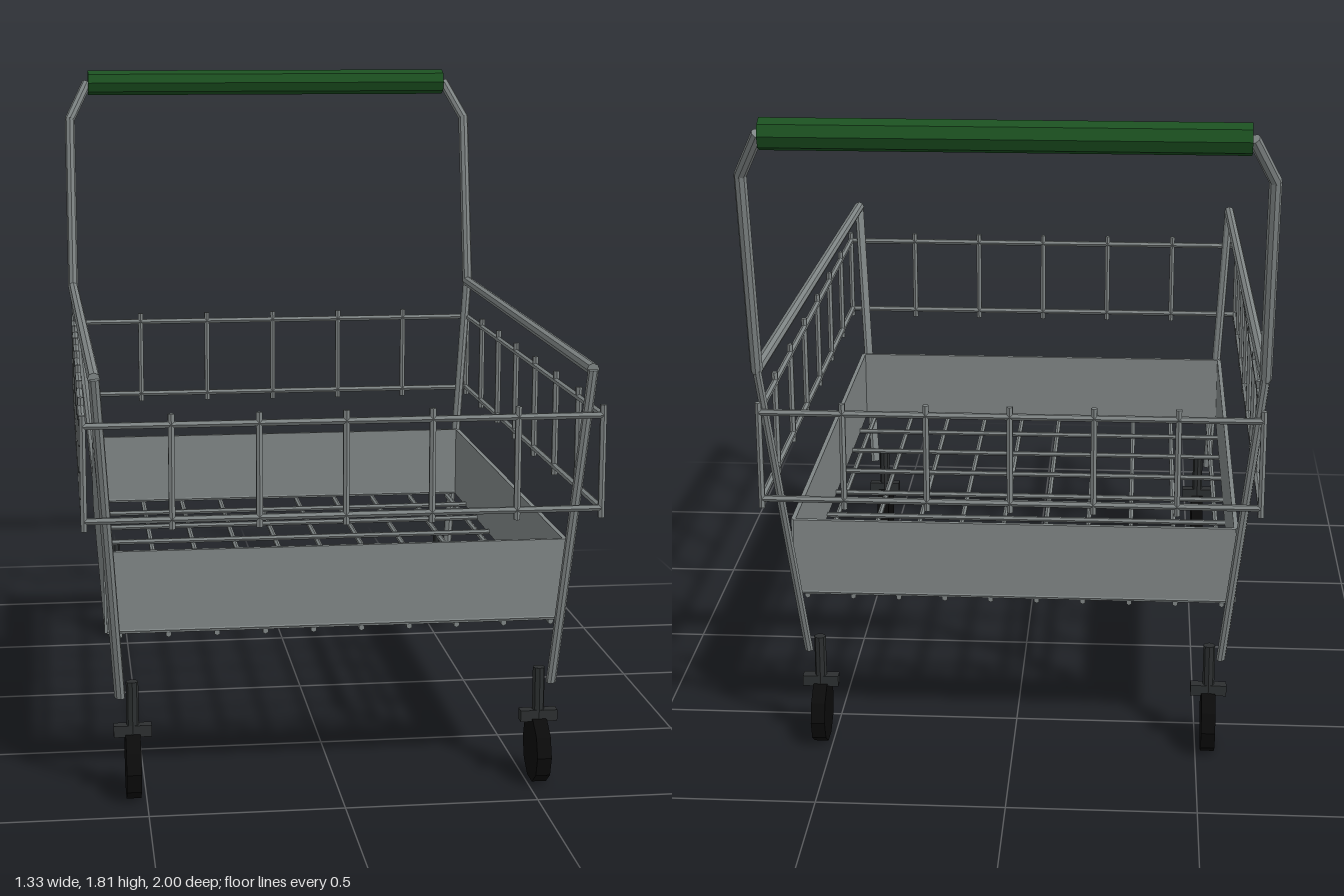
import * as THREE from 'three';

const flat = (name, color) => {
  const m = new THREE.MeshStandardMaterial({ color });
  m.name = name;
  m.flatShading = true;
  return m;
};

export function createModel() {
  const model = new THREE.Group();
  model.name = 'pushCart';

  const steel = flat('steel', 0x7f8585);
  const green = flat('handleGreen', 0x1b5020);
  const darkMetal = flat('darkMetal', 0x2c2f30);
  const rubber = flat('rubber', 0x0b0b0b);

  const add = (parent, name, geometry, material) => {
    const mesh = new THREE.Mesh(geometry, material);
    mesh.name = name;
    parent.add(mesh);
    return mesh;
  };
  const group = (name) => {
    const g = new THREE.Group();
    g.name = name;
    model.add(g);
    return g;
  };
  // Straight rod between two points
  const rod = (parent, name, a, b, r, sides = 8, material = steel) => {
    const p = new THREE.Vector3(...a), q = new THREE.Vector3(...b);
    const d = q.clone().sub(p);
    const mesh = add(parent, name, new THREE.CylinderGeometry(r, r, d.length(), sides), material);
    mesh.position.copy(p).add(q).multiplyScalar(0.5);
    mesh.quaternion.setFromUnitVectors(new THREE.Vector3(0, 1, 0), d.normalize());
    return mesh;
  };
  const joint = (parent, p, r) =>
    add(parent, 'joint', new THREE.SphereGeometry(r, 8, 6), steel).position.set(...p);

  // Frame: push bar uprights, top rails and four splayed legs
  const frame = group('frame');
  for (const s of [-1, 1]) {
    const grip = [s * 0.592, 1.775, -0.953], bend = [s * 0.65, 1.66, -0.892];
    const back = [s * 0.65, 1.125, -0.782], front = [s * 0.62, 1.125, 0.995];
    rod(frame, 'handleBend', grip, bend, 0.016);
    rod(frame, 'upright', bend, back, 0.016);
    rod(frame, 'topRail', back, front, 0.016);
    joint(frame, bend, 0.016);
    joint(frame, back, 0.016);
    const backLeg = rod(frame, 'backLeg', back, [s * 0.565, 0.27, -0.632], 0.016);
    const frontLeg = rod(frame, 'frontLeg', front, [s * 0.565, 0.27, 0.847], 0.016);
    backLeg.scale.z = frontLeg.scale.z = 0.72;
  }

  // Push handle
  rod(model, 'handle', [-0.588, 1.775, -0.955], [0.588, 1.775, -0.955], 0.04, 8, green);

  // Upper basket: two wire hoops with short upright bars
  const basket = group('basket');
  const X = 0.65, Z0 = -0.78, Z1 = 0.99, W = 0.009;
  for (const y of [0.77, 1.008]) {
    for (const z of [Z0, Z1]) rod(basket, 'crossWire', [-X, y, z], [X, y, z], W, 6);
    for (const x of [-X, X]) rod(basket, 'sideWire', [x, y, Z0], [x, y, Z1], W, 6);
  }
  const bar = (x, z) => rod(basket, 'basketBar', [x, 0.745, z], [x, 1.035, z], W, 6);
  for (let i = 1; i < 6; i++)
    for (const z of [Z0, Z1]) bar(-X + (i * 2 * X) / 6, z);
  for (let i = 0; i < 8; i++)
    for (const x of [-X, X]) bar(x, Z0 + (i * (Z1 - Z0)) / 7);

  // Lower tray: wire grid floor with solid low walls
  const tray = group('tray');
  const T0 = -0.637, T1 = 0.841, TX = 0.595;
  for (let i = 0; i < 10; i++) {
    const x = -0.5625 + i * 0.125;
    rod(tray, 'floorLongWire', [x, 0.432, T0], [x, 0.432, T1], 0.008, 6);
  }
  for (let i = 0; i < 9; i++) {
    const z = T0 + (i * (T1 - T0)) / 8;
    rod(tray, 'floorCrossWire', [-TX, 0.445, z], [TX, 0.445, z], 0.008, 6);
  }
  for (const z of [T0, T1])
    add(tray, 'endWall', new THREE.BoxGeometry(2 * TX, 0.215, 0.012), steel).position.set(0, 0.547, z);
  for (const x of [-TX, TX])
    add(tray, 'sideWall', new THREE.BoxGeometry(0.012, 0.215, T1 - T0), steel).position.set(x, 0.547, (T0 + T1) / 2);

  // Casters
  for (const x of [-0.533, 0.533]) {
    for (const z of [-0.634, 0.842]) {
      const caster = group('caster');
      caster.position.set(x, 0, z);
      add(caster, 'stem', new THREE.CylinderGeometry(0.016, 0.016, 0.2, 8), darkMetal).position.y = 0.21;
      add(caster, 'crossBar', new THREE.BoxGeometry(0.098, 0.03, 0.03), darkMetal).position.y = 0.18;
      const wheel = add(caster, 'wheel', new THREE.CylinderGeometry(0.088, 0.088, 0.038, 10), rubber);
      wheel.rotation.z = Math.PI / 2;
      wheel.position.y = 0.088;
    }
  }
  return model;
}
